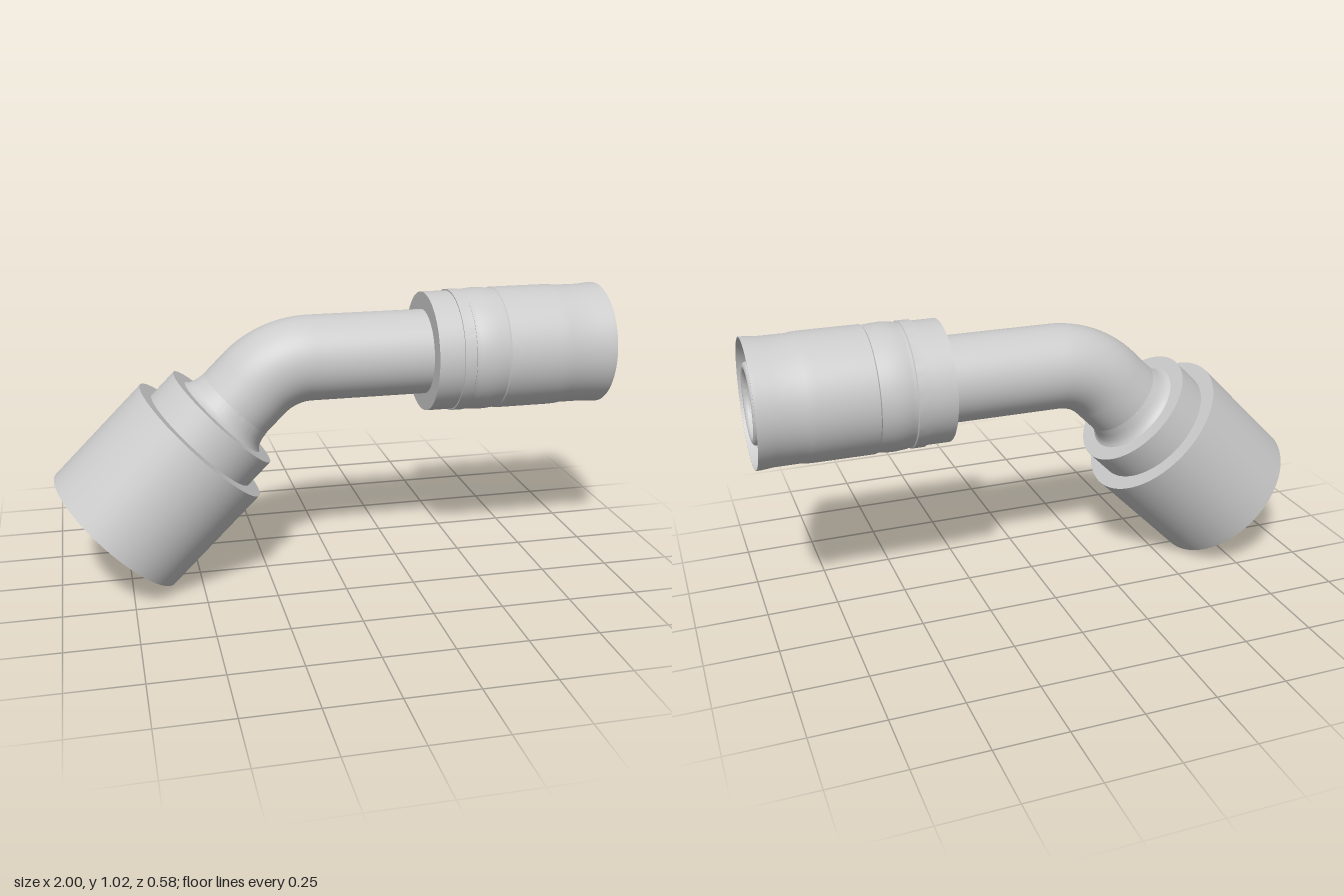
import * as THREE from 'three';
import { toCreasedNormals } from 'three/addons/utils/BufferGeometryUtils.js';

const material = new THREE.MeshStandardMaterial({ color: 0xcccccc, side: THREE.DoubleSide });
const AXIS_Y = 0.8;       // height of the straight pipe run
const BEND = 0.29;        // bend radius of the pipe centre line
const S = Math.SQRT1_2;

// Turned part from [radius, distance along axis] points
function turned(name, profile) {
  const points = profile.map(([r, d]) => new THREE.Vector2(r, d));
  const geometry = toCreasedNormals(new THREE.LatheGeometry(points, 96), 0.5);
  const mesh = new THREE.Mesh(geometry, material);
  mesh.name = name;
  return mesh;
}

// Straight run, 45 degree bend, and sloping run down into the nut
function pipePath(xStart, endDistance) {
  const v = (x, y) => new THREE.Vector3(x, y, 0);
  const handle = (4 / 3) * Math.tan(Math.PI / 16) * BEND;
  const a = v(-0.08, AXIS_Y);
  const b = v(-0.08 - BEND * S, AXIS_Y - BEND * (1 - S));
  const path = new THREE.CurvePath();
  path.add(new THREE.LineCurve3(v(xStart, AXIS_Y), a));
  path.add(new THREE.CubicBezierCurve3(a, v(a.x - handle, a.y), v(b.x + handle * S, b.y + handle * S), b));
  path.add(new THREE.LineCurve3(b, v(-0.795 + endDistance * S, 0.205 + endDistance * S)));
  return path;
}

function tube(name, path, radius) {
  const mesh = new THREE.Mesh(new THREE.TubeGeometry(path, 120, radius, 64), material);
  mesh.name = name;
  return mesh;
}

export function createModel() {
  const model = new THREE.Group();
  model.name = 'angledHoseFitting';

  // Bent pipe and its bore
  model.add(tube('bentPipe', pipePath(0.4, 0.38), 0.153));
  model.add(tube('pipeBore', pipePath(0.983, 0.15), 0.108));

  // Crimped sleeve and hose nipple on the straight end
  const sleeveEnd = new THREE.Group();
  sleeveEnd.name = 'sleeveEnd';
  sleeveEnd.add(turned('sleeve', [
    [0.15, 0.338], [0.216, 0.338], [0.216, 0.43],
    [0.221, 0.43], [0.221, 0.472], [0.216, 0.475], [0.216, 0.48],
    [0.219, 0.49], [0.223, 0.53], [0.222, 0.56], [0.218, 0.597],
    [0.222, 0.601], [0.222, 0.8], [0.221, 0.83], [0.218, 0.85], [0.218, 0.94], [0.222, 0.985], [0.222, 1.0],
    [0.219, 1.0], [0.2, 0.95], [0.2, 0.45], [0.15, 0.45],
  ]));
  const nipple = [[0.14, 0.44]];
  for (let i = 0; i <= 12; i++) {
    const t = (i / 12) * Math.PI;
    nipple.push([0.124 + 0.016 * Math.cos(t), 0.983 + 0.016 * Math.sin(t)]);
  }
  sleeveEnd.add(turned('hoseNipple', nipple));
  sleeveEnd.rotation.z = -Math.PI / 2;
  sleeveEnd.position.y = AXIS_Y;
  model.add(sleeveEnd);

  // Stepped swivel nut, flared neck and inner seat on the sloping end
  const nutEnd = new THREE.Group();
  nutEnd.name = 'nutEnd';
  nutEnd.add(turned('swivelNut', [
    [0.27, 0], [0.29, 0], [0.29, 0.445], [0.235, 0.445], [0.235, 0.559], [0.155, 0.559],
    [0.155, 0.41], [0.25, 0.41], [0.25, 0.03], [0.27, 0],
  ]));
  nutEnd.add(turned('flaredNeck', [
    [0.182, 0.558], [0.172, 0.565], [0.163, 0.58], [0.157, 0.6], [0.1525, 0.63],
  ]));
  nutEnd.add(turned('coneSeat', [
    [0.108, 0.15], [0.13, 0.15], [0.235, 0.33], [0.235, 0.41], [0.15, 0.41],
  ]));
  nutEnd.rotation.z = -Math.PI / 4;
  nutEnd.position.set(-0.795, 0.205, 0);
  model.add(nutEnd);

  return model;
}
